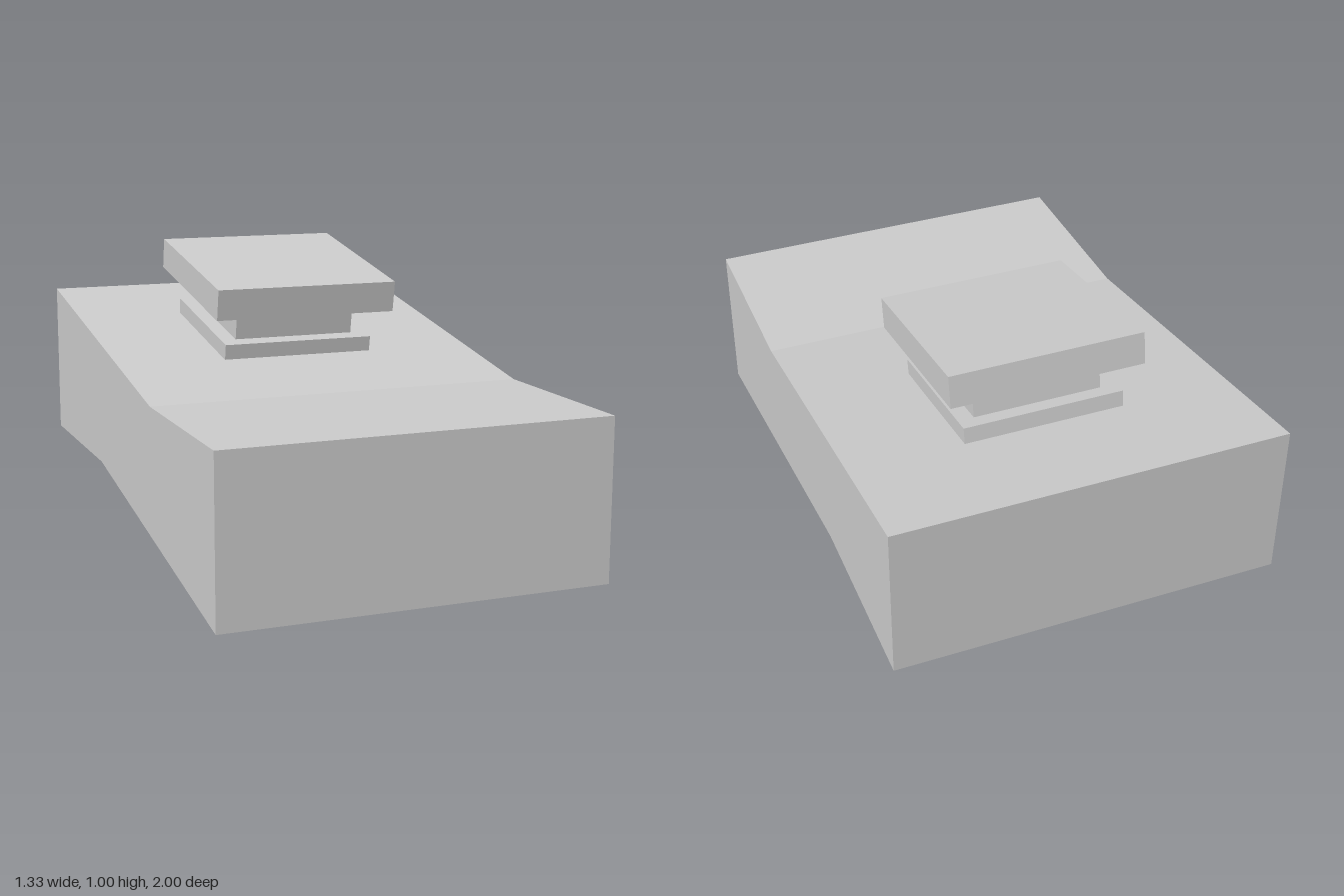
import * as THREE from 'three';

const U = 1 / 9; // modelling unit
const HALF_W = 6 * U;

export function createModel() {
  const model = new THREE.Group();
  const shell = new THREE.MeshStandardMaterial({ color: 0xcccccc, side: THREE.DoubleSide });
  const solid = new THREE.MeshStandardMaterial({ color: 0xcccccc });

  const add = (parent, name, geometry, material) => {
    const mesh = new THREE.Mesh(geometry, material);
    mesh.name = name;
    parent.add(mesh);
    return mesh;
  };

  // Full-width thin panel spanning two points [z, y] of the side profile
  const panel = (name, [z0, y0], [z1, y1]) => {
    const mesh = add(model, name,
      new THREE.PlaneGeometry(2 * HALF_W, Math.hypot(z1 - z0, y1 - y0)), shell);
    mesh.position.set(0, (y0 + y1) / 2, (z0 + z1) / 2);
    mesh.rotation.x = Math.atan2(z1 - z0, y1 - y0);
  };

  // Hollow sloped body, open underneath
  const frontBottom = [1, 0], frontTop = [1, 5 * U], topBend = [3 * U, 5 * U];
  const backTop = [-1, 7 * U], backBottom = [-1, 2 * U], bottomBend = [-3 * U, 2 * U];
  panel('frontWall', frontTop, frontBottom);
  panel('flatTop', topBend, frontTop);
  panel('rampTop', backTop, topBend);
  panel('backWall', backBottom, backTop);

  // Side walls
  const outline = [frontBottom, frontTop, topBend, backTop, backBottom, bottomBend];
  const sideShape = new THREE.Shape(outline.map(([z, y]) => new THREE.Vector2(-z, y)));
  for (const side of [-1, 1]) {
    const wall = add(model, side > 0 ? 'leftWall' : 'rightWall',
      new THREE.ShapeGeometry(sideShape), shell);
    wall.rotation.y = Math.PI / 2;
    wall.position.x = side * HALF_W;
  }

  // Cross ribs inside the body
  for (const [name, z] of [['frontRib', 3 * U], ['backRib', -3 * U]]) {
    panel(name, [z, 2 * U], [z, 5 * U]);
  }

  // Tilted button: base plate, stem and cap stacked along the ramp normal
  const button = new THREE.Group();
  button.name = 'button';
  button.position.set(0, 0.6955, -0.328);
  button.rotation.x = THREE.MathUtils.degToRad(10);
  model.add(button);
  let height = -U / 4;
  for (const [name, size, thickness] of [
    ['basePlate', 5 * U, U / 2],
    ['stem', 4 * U, U],
    ['cap', 6 * U, U],
  ]) {
    const block = add(button, name, new THREE.BoxGeometry(size, thickness, size), solid);
    block.position.y = height + thickness / 2;
    height += thickness;
  }

  return model;
}
